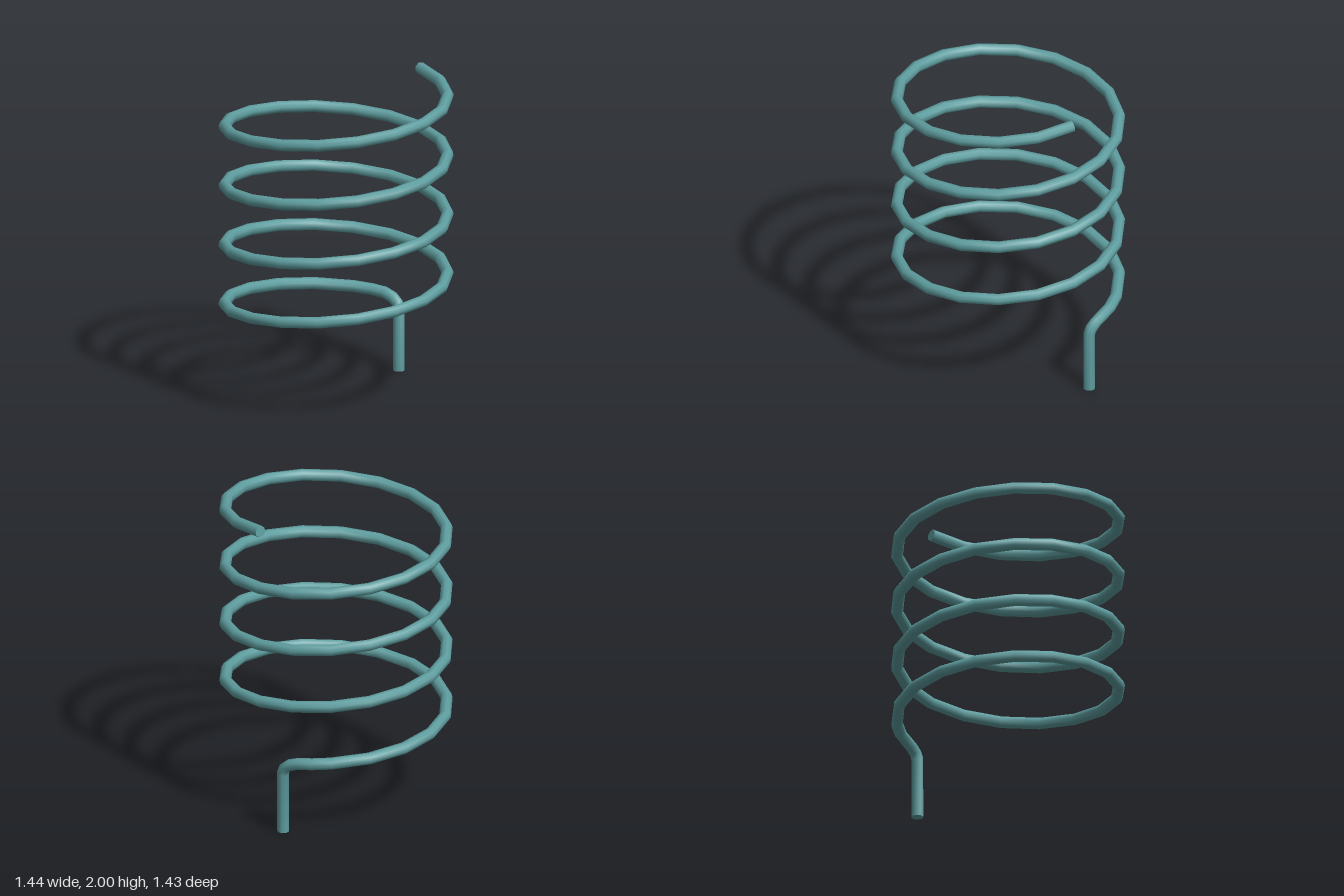
import * as THREE from 'three';

const R = 0.683, PITCH = 0.378, BASE = 0.485, WIRE = 0.037, SIDES = 8;

// Curve sampled exactly at its control points, so the bends stay faceted
class WirePath extends THREE.Curve {
  constructor(points) { super(); this.points = points; }
  getPoint(u) {
    const p = this.points, s = u * (p.length - 1), i = Math.min(Math.floor(s + 1e-6), p.length - 2);
    return p[i].clone().lerp(p[i + 1], s - i);
  }
  getPointAt(u) { return this.getPoint(u); }
  getTangentAt(u) {
    const p = this.points, i = Math.round(u * (p.length - 1)), t = new THREE.Vector3();
    if (i > 0) t.add(p[i].clone().sub(p[i - 1]).normalize());
    if (i < p.length - 1) t.add(p[i + 1].clone().sub(p[i]).normalize());
    return t.normalize();
  }
}

// Flat disc closing one end ring of the tube
function endCap(tube, ring, flip) {
  const pos = tube.attributes.position, pts = [];
  for (let j = 0; j < SIDES; j++) pts.push(new THREE.Vector3().fromBufferAttribute(pos, ring * (SIDES + 1) + j));
  const index = [];
  for (let j = 1; j < SIDES - 1; j++) index.push(0, flip ? j + 1 : j, flip ? j : j + 1);
  const g = new THREE.BufferGeometry().setFromPoints(pts);
  g.setIndex(index);
  g.computeVertexNormals();
  return g;
}

export function createModel() {
  const group = new THREE.Group();
  group.name = 'coilSpring';
  const teal = new THREE.MeshStandardMaterial({ color: 0x5f9ea0 });
  teal.name = 'tealWire';

  // Straight stem and the bend into the coil
  const points = [
    [0.19, 0, -0.634], [0.19, 0.39, -0.634], [0.178, 0.425, -0.642],
    [0.145, 0.453, -0.656], [0.085, 0.475, -0.674], [0, 0.484, -0.684],
  ].map((p) => new THREE.Vector3(...p));

  // Just under four turns, eighteen segments per turn
  for (let deg = 10; deg <= 1410; deg += 20) {
    const t = THREE.MathUtils.degToRad(deg);
    points.push(new THREE.Vector3(-R * Math.sin(t), BASE + PITCH * deg / 360, -R * Math.cos(t)));
  }

  const segments = points.length - 1;
  const tube = new THREE.TubeGeometry(new WirePath(points), segments, WIRE, SIDES, false);
  const add = (name, geometry) => {
    const mesh = new THREE.Mesh(geometry, teal);
    mesh.name = name;
    group.add(mesh);
  };
  add('springWire', tube);
  add('stemEnd', endCap(tube, 0, false));
  add('coilEnd', endCap(tube, segments, true));
  return group;
}
